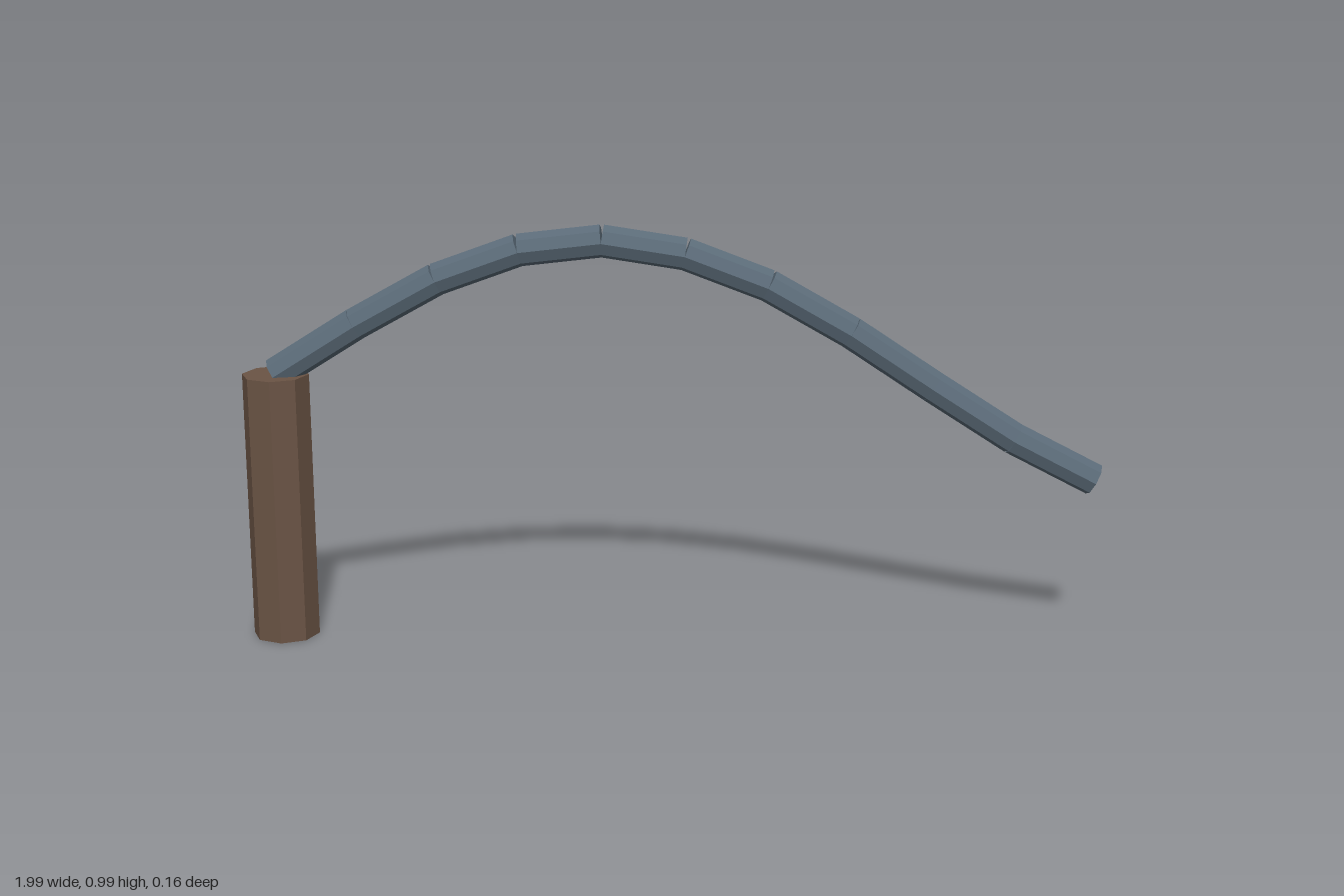
import * as THREE from 'three';

export function createModel() {
  const model = new THREE.Group();
  const wood = new THREE.MeshStandardMaterial({ color: 0x6b5445, flatShading: true });
  const steel = new THREE.MeshStandardMaterial({ color: 0x5b6b78, flatShading: true });

  // Upright octagonal post
  const post = new THREE.Mesh(new THREE.CylinderGeometry(0.078, 0.078, 0.635, 8), wood);
  post.name = 'post';
  post.position.set(-0.922, 0.3175, 0);
  model.add(post);

  // Curved arm: straight octagonal segments between evenly spaced joints
  const heights = [0.635, 0.755, 0.861, 0.93, 0.952, 0.923, 0.851, 0.743, 0.617, 0.495, 0.397];
  const joints = heights.map((y, i) => new THREE.Vector3(-0.922 + i * 0.1897, y, 0));
  const arm = new THREE.Group();
  arm.name = 'arm';
  for (let i = 0; i < joints.length - 1; i++) {
    const a = joints[i], b = joints[i + 1];
    const segment = new THREE.Mesh(new THREE.CylinderGeometry(0.038, 0.038, a.distanceTo(b), 8), steel);
    segment.name = `armSegment${i + 1}`;
    segment.position.lerpVectors(a, b, 0.5);
    segment.rotation.z = Math.atan2(b.y - a.y, b.x - a.x) - Math.PI / 2;
    arm.add(segment);
  }
  model.add(arm);
  return model;
}
